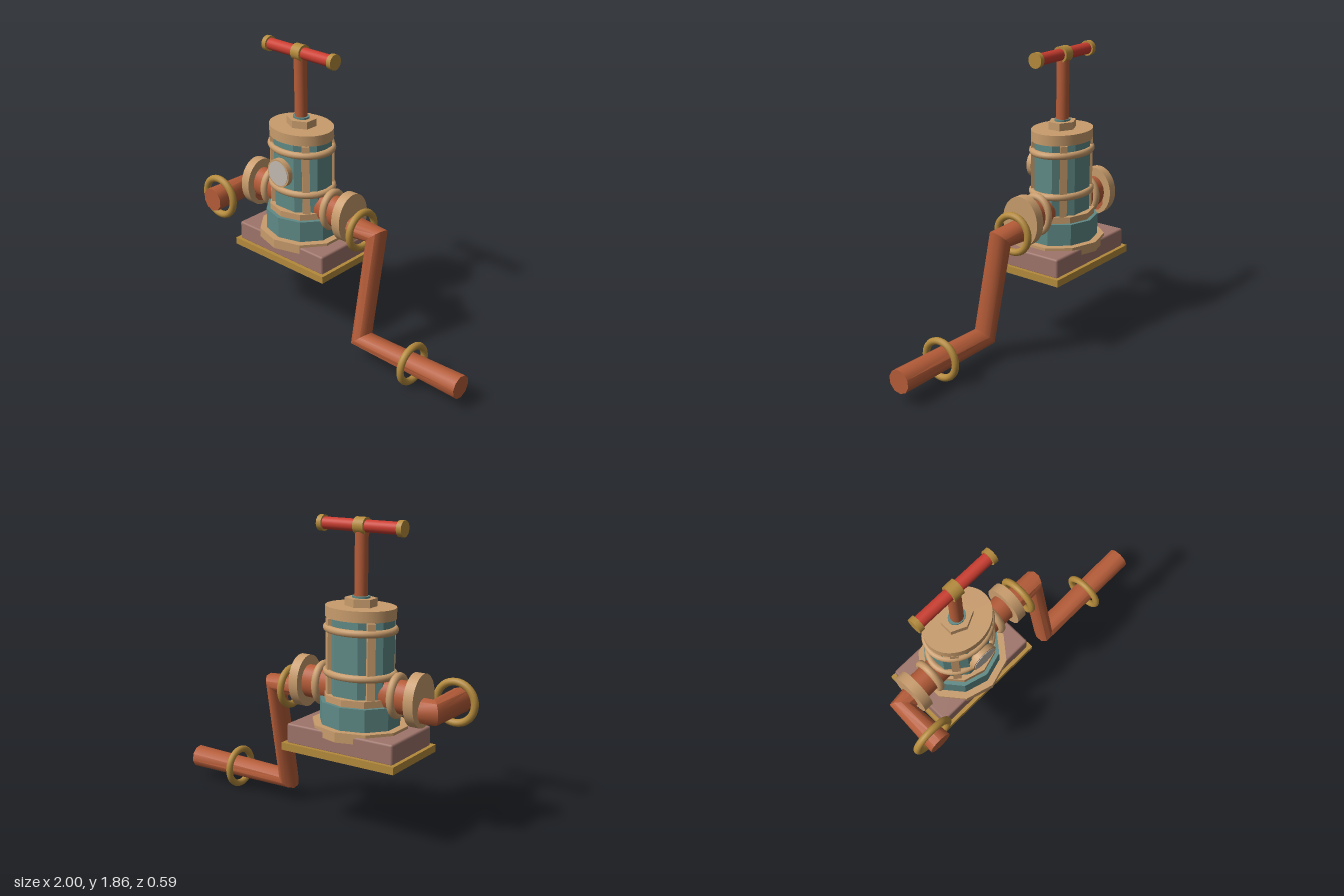
import * as THREE from 'three';
import { toCreasedNormals } from 'three/addons/utils/BufferGeometryUtils.js';
import { RoundedBoxGeometry } from 'three/addons/geometries/RoundedBoxGeometry.js';

const material = (name, color) => {
  const m = new THREE.MeshStandardMaterial({ color });
  m.name = name;
  return m;
};

// Pipe swept along a planar path, with a ring on the bisecting plane at each corner
function pipeGeometry(points, planeNormal, radius, sides = 10) {
  const pos = [], index = [], last = points.length - 1;
  points.forEach((p, i) => {
    const t = new THREE.Vector3();
    if (i > 0) t.add(p.clone().sub(points[i - 1]).normalize());
    if (i < last) t.add(points[i + 1].clone().sub(p).normalize());
    t.normalize();
    const side = t.clone().cross(planeNormal);
    for (let j = 0; j < sides; j++) {
      const a = (j / sides) * Math.PI * 2;
      const v = p.clone().addScaledVector(planeNormal, radius * Math.cos(a)).addScaledVector(side, radius * Math.sin(a));
      pos.push(v.x, v.y, v.z);
    }
  });
  const start = pos.length / 3, end = start + 1;
  pos.push(...points[0].toArray(), ...points[last].toArray());
  for (let j = 0; j < sides; j++) {
    const k = (j + 1) % sides;
    for (let i = 0; i < last; i++) {
      const a = i * sides, b = a + sides;
      index.push(a + j, a + k, b + j, a + k, b + k, b + j);
    }
    index.push(start, k, j, end, last * sides + j, last * sides + k);
  }
  const g = new THREE.BufferGeometry();
  g.setAttribute('position', new THREE.Float32BufferAttribute(pos, 3));
  g.setIndex(index);
  return toCreasedNormals(g, 0.7);
}

export function createModel() {
  const model = new THREE.Group();
  model.name = 'pump';
  const rust = material('rust copper', 0xb55c38);
  const red = material('red', 0xcb3d30);
  const gold = material('brass', 0xb48a3c);
  const tan = material('tan metal', 0xc89c6c);
  const teal = material('teal', 0x5f8a86);
  const mauve = material('mauve', 0x9e746a);
  const glass = material('pale glass', 0xc2bab2);

  const add = (parent, name, geometry, mat, x = 0, y = 0, z = 0) => {
    const m = new THREE.Mesh(geometry, mat);
    m.name = name;
    m.position.set(x, y, z);
    parent.add(m);
    return m;
  };
  // Upright prism or cylinder between two heights
  const column = (parent, name, r, y0, y1, mat, sides = 40, turn = 0) => {
    let g = new THREE.CylinderGeometry(r, r, y1 - y0, sides, 1, false, turn);
    if (sides < 20) g = toCreasedNormals(g, 0.3);
    return add(parent, name, g, mat, 0, (y0 + y1) / 2, 0);
  };
  // Cylinder lying along x
  const rod = (parent, name, r, x0, x1, y, z, mat, sides = 32) => {
    const m = add(parent, name, new THREE.CylinderGeometry(r, r, x1 - x0, sides), mat, (x0 + x1) / 2, y, z);
    m.rotation.z = Math.PI / 2;
    return m;
  };
  const ring = (parent, name, outer, tube, mat, x, y, z) =>
    add(parent, name, new THREE.TorusGeometry(outer - tube, tube, 12, 40), mat, x, y, z);

  const cx = -0.362, cz = -0.035;

  // Base
  add(model, 'basePlate', new THREE.BoxGeometry(0.765, 0.045, 0.49), gold, cx, 0.508, -0.045);
  add(model, 'baseBlock', new RoundedBoxGeometry(0.72, 0.125, 0.445, 1, 0.012), mauve, cx, 0.585, -0.045);

  // Ten-sided pedestal
  const pedestal = new THREE.Group();
  pedestal.name = 'pedestal';
  pedestal.position.set(cx, 0, cz);
  pedestal.scale.z = 0.895;
  model.add(pedestal);
  column(pedestal, 'pedestalCollar', 0.294, 0.605, 0.665, tan, 10);
  column(pedestal, 'pedestalDrum', 0.247, 0.66, 0.8, teal, 10);
  column(pedestal, 'pedestalRim', 0.221, 0.795, 0.84, tan, 10);

  // Flattened body
  const body = new THREE.Group();
  body.name = 'body';
  body.position.set(cx, 0, cz);
  body.scale.z = 0.815;
  model.add(body);
  column(body, 'tank', 0.207, 0.83, 1.3, teal, 8, Math.PI / 8);
  column(body, 'topFlange', 0.2165, 1.29, 1.355, tan);
  column(body, 'stemNut', 0.1, 1.35, 1.402, tan, 6);
  column(body, 'stemSeal', 0.055, 1.4, 1.413, teal);
  for (const y of [0.965, 1.225])
    ring(body, 'tankHoop', 0.23, 0.022, tan, 0, y, 0).rotation.x = Math.PI / 2;
  for (let i = 0; i < 4; i++) {
    const a = Math.PI / 4 + (i * Math.PI) / 2;
    const rib = add(body, 'tankRib', new THREE.BoxGeometry(0.05, 0.46, 0.03), tan, 0.2 * Math.sin(a), 1.055, 0.2 * Math.cos(a));
    rib.rotation.y = a;
  }

  // Side outlets
  for (const s of [-1, 1]) {
    const x0 = s < 0 ? -0.36 : 0, x1 = s < 0 ? 0 : 0.36;
    rod(body, 'outletPipe', 0.1, x0, x1, 0.857, 0, rust);
    ring(body, 'outletRing', 0.137, 0.024, tan, s * 0.256, 0.862, 0).rotation.y = Math.PI / 2;
    rod(body, 'outletFlange', 0.158, s * 0.391 - 0.031, s * 0.391 + 0.031, 0.857, 0, tan, 40);
  }

  // Round window
  const frame = add(model, 'windowFrame', new THREE.CylinderGeometry(0.09, 0.09, 0.034, 32), tan, cx, 1.097, 0.157);
  const neck = add(model, 'windowNeck', new THREE.CylinderGeometry(0.055, 0.055, 0.06, 24), tan, cx, 1.097, 0.125);
  const pane = add(model, 'windowGlass', new THREE.CylinderGeometry(0.079, 0.079, 0.006, 32), glass, cx, 1.097, 0.174);
  for (const m of [frame, neck, pane]) m.rotation.x = Math.PI / 2;

  // Stem and T-handle
  add(model, 'stem', new THREE.CylinderGeometry(0.039, 0.039, 0.42, 24), rust, cx, 1.6, cz);
  rod(model, 'handleBar', 0.036, -0.62, -0.1, 1.81, cz, red);
  rod(model, 'handleHub', 0.05, cx - 0.034, cx + 0.034, 1.81, cz, gold);
  rod(model, 'handleEnd', 0.047, -0.64, -0.608, 1.81, cz, gold);
  rod(model, 'handleEnd', 0.047, -0.112, -0.08, 1.81, cz, gold);

  // Bent pipes
  const v = (x, y, z) => new THREE.Vector3(x, y, z);
  const drop = v(0, 0.141 - 0.804, 0.093 - cz);
  const normal = v(1, 0, 0).cross(drop).normalize();
  add(model, 'leftPipe', pipeGeometry(
    [v(0, 0.804, cz), v(0.248, 0.804, cz), v(0.248, 0.141, 0.093), v(1, 0.143, 0.093)], normal, 0.074), rust);
  add(model, 'rightPipe', pipeGeometry(
    [v(-0.72, 0.8, cz), v(-0.852, 0.8, cz), v(-0.852, 0.8, 0.29)], v(0, 1, 0), 0.077), rust);

  // Brass rings around the pipes
  ring(model, 'upperPipeRing', 0.136, 0.022, gold, 0.13, 0.802, cz).rotation.y = Math.PI / 2;
  ring(model, 'lowerPipeRing', 0.137, 0.022, gold, 0.648, 0.141, 0.095).rotation.y = Math.PI / 2;
  ring(model, 'frontPipeRing', 0.146, 0.023, gold, -0.852, 0.8, 0.223);

  return model;
}
